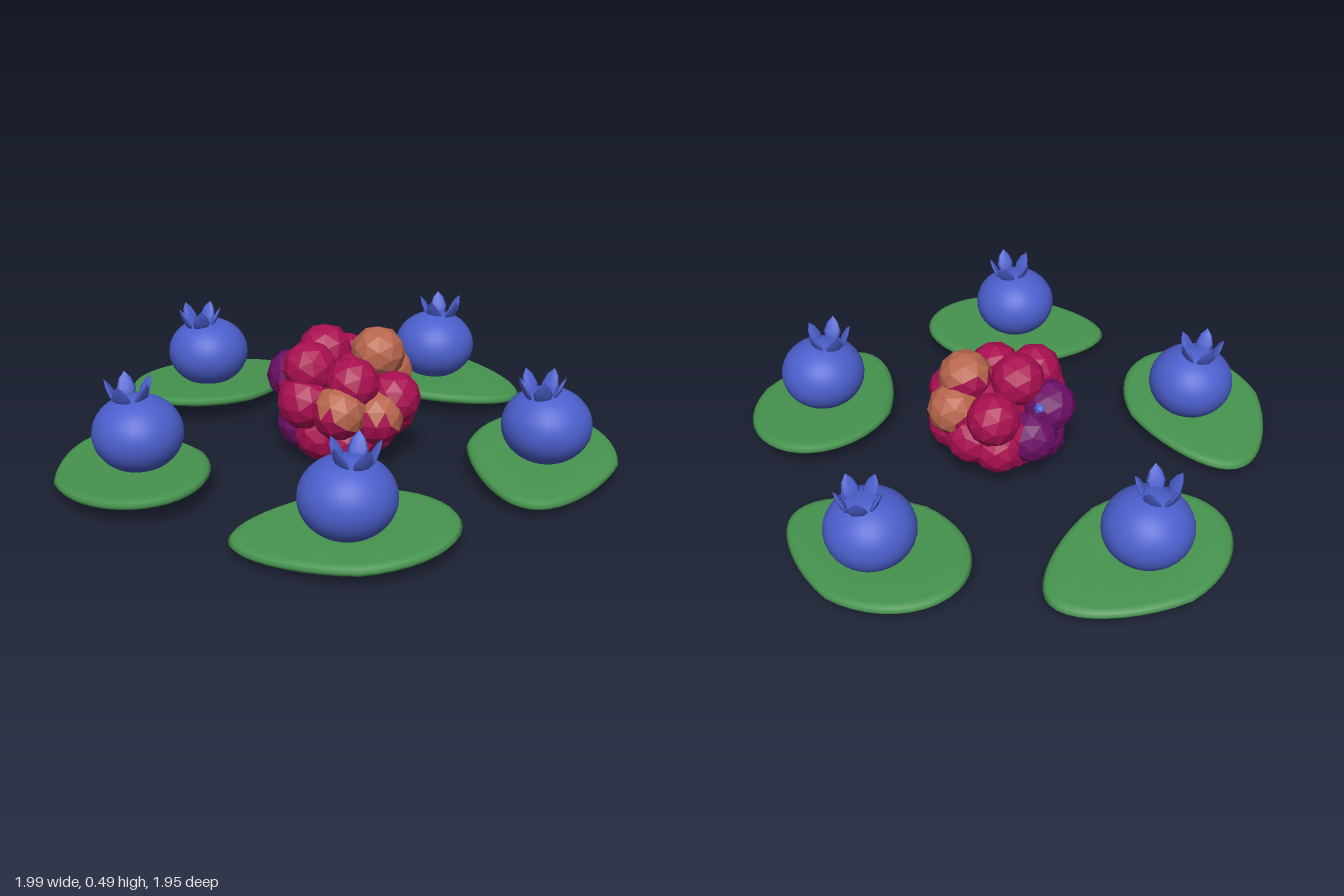
import * as THREE from 'three';
import { mergeVertices } from 'three/addons/utils/BufferGeometryUtils.js';

const paint = (name, color, flatShading = false) => {
  const m = new THREE.MeshStandardMaterial({ color, flatShading });
  m.name = name;
  return m;
};

function add(parent, name, geometry, material, x = 0, y = 0, z = 0) {
  const mesh = new THREE.Mesh(geometry, material);
  mesh.name = name;
  mesh.position.set(x, y, z);
  parent.add(mesh);
  return mesh;
}

const lathe = (points, sides) =>
  new THREE.LatheGeometry(points.map(([r, y]) => new THREE.Vector2(r, y)), sides);

// Rounded slab: blunt at -x, pointed at +x, tilted down to the tip and outer edge
function leafGeometry() {
  let geo = lathe([[0, -0.023], [0.5, -0.023], [0.9, -0.02], [0.97, -0.012], [1, 0],
    [0.97, 0.012], [0.9, 0.019], [0.5, 0.016], [0, 0.015]], 40);
  const p = geo.attributes.position;
  for (let i = 0; i < p.count; i++) {
    const ux = p.getX(i);
    const x = ux * (ux > 0 ? 0.39 : 0.35);
    const z = p.getZ(i) * 0.27 * (1 - 0.26 * Math.max(ux, 0)) - 0.008;
    p.setXYZ(i, x, p.getY(i) - 0.055 * x + 0.03 * z, z);
  }
  geo.deleteAttribute('uv');
  geo.deleteAttribute('normal');
  geo = mergeVertices(geo, 1e-5);
  geo.computeVertexNormals();
  return geo;
}

// Faceted drupelet: group 0 faces the given direction, group 1 faces away
function drupeletGeometry(direction) {
  const geo = new THREE.IcosahedronGeometry(0.1, 1);
  const p = geo.attributes.position;
  for (let i = 0; i < p.count; i += 3) {
    const c = new THREE.Vector3();
    for (let j = 0; j < 3; j++) c.add(new THREE.Vector3().fromBufferAttribute(p, i + j));
    geo.addGroup(i, 3, c.normalize().dot(direction) > -0.35 ? 0 : 1);
  }
  return geo;
}

export function createModel() {
  const model = new THREE.Group();
  model.name = 'berriesAndLeaves';
  const green = paint('leafGreen', 0x46944f);
  const blue = paint('berryBlue', 0x4c5fcd);
  const crimson = paint('crimson', 0xa90f50, true);
  const orange = paint('dustyOrange', 0xb8664d, true);
  const purple = paint('purple', 0x6c0f66, true);

  // Five leaves in a ring
  const leafGeo = leafGeometry();
  for (let k = 0; k < 5; k++) {
    const arm = new THREE.Group();
    arm.name = 'leafArm';
    arm.position.z = 0.054;
    arm.rotation.y = -k * Math.PI * 2 / 5;
    add(arm, 'leaf', leafGeo, green, 0, 0.07, -0.755);
    model.add(arm);
  }

  // Round berries with a five-pointed crown: x, z, crown offset x, crown offset z
  const bodyGeo = new THREE.SphereGeometry(0.16, 32, 20);
  bodyGeo.scale(1, 0.85, 1);
  const sepalGeo = lathe([[0, 0], [0.026, 0.015], [0.034, 0.045], [0.022, 0.08], [0, 0.105]], 8);
  sepalGeo.scale(1, 1, 0.28);
  [[0, -0.74, 0.01, -0.03], [0.745, -0.165, -0.015, 0.03], [0.45, 0.7, 0.025, 0],
    [-0.435, 0.64, -0.025, 0.005], [-0.745, -0.18, -0.015, 0.03]].forEach(([x, z, cx, cz], k) => {
    const berry = new THREE.Group();
    berry.name = 'roundBerry';
    berry.position.set(x, 0.2, z);
    add(berry, 'berryBody', bodyGeo, blue);
    for (let i = 0; i < 5; i++) {
      const turn = new THREE.Group();
      turn.name = 'crownPoint';
      turn.position.set(cx, 0.1, cz);
      turn.rotation.y = i * Math.PI * 2 / 5 + k * 0.5;
      add(turn, 'sepal', sepalGeo, blue, 0, 0, 0.04).rotation.x = 0.45;
      berry.add(turn);
    }
    model.add(berry);
  });

  // Clustered berry in the middle
  const cluster = new THREE.Group();
  cluster.name = 'clusterBerry';
  model.add(cluster);
  add(cluster, 'core', new THREE.IcosahedronGeometry(0.15, 1), crimson, 0.03, 0.25, 0.03);

  const sets = {
    crimsonDrupelet: [[crimson, crimson], [0, 1, 0], [
      [-0.05, 0.39, 0.03], [-0.04, 0.36, 0.15], [-0.03, 0.25, 0.2], [0.22, 0.25, 0],
      [-0.06, 0.31, -0.13], [0.03, 0.2, -0.14], [-0.06, 0.17, -0.1], [0.16, 0.17, -0.08],
      [0.01, 0.12, 0.15], [0.11, 0.105, 0.14], [0.05, 0.11, 0.02], [0.15, 0.14, 0.05],
      [-0.05, 0.12, 0], [0.12, 0.32, 0.12]]],
    orangeDrupelet: [[orange, crimson], [0.6, 0.7, 0.2], [
      [0.12, 0.385, -0.06], [0.11, 0.29, -0.14], [0.11, 0.235, 0.195], [0.2, 0.2, 0.09]]],
    purpleDrupelet: [[purple, crimson], [-0.9, 0.1, -0.2], [
      [-0.155, 0.29, 0.08], [-0.14, 0.2, -0.01], [-0.1, 0.125, 0.1]]],
  };
  for (const [name, [materials, direction, spots]] of Object.entries(sets)) {
    const geo = drupeletGeometry(new THREE.Vector3(...direction).normalize());
    spots.forEach((s, i) => add(cluster, name, geo, materials, ...s).rotation.set(0, i * 0.7, 0));
  }
  // Small blue fleck on the purple side
  add(cluster, 'fleck', new THREE.IcosahedronGeometry(0.022, 0), blue, -0.17, 0.33, 0);

  return model;
}
